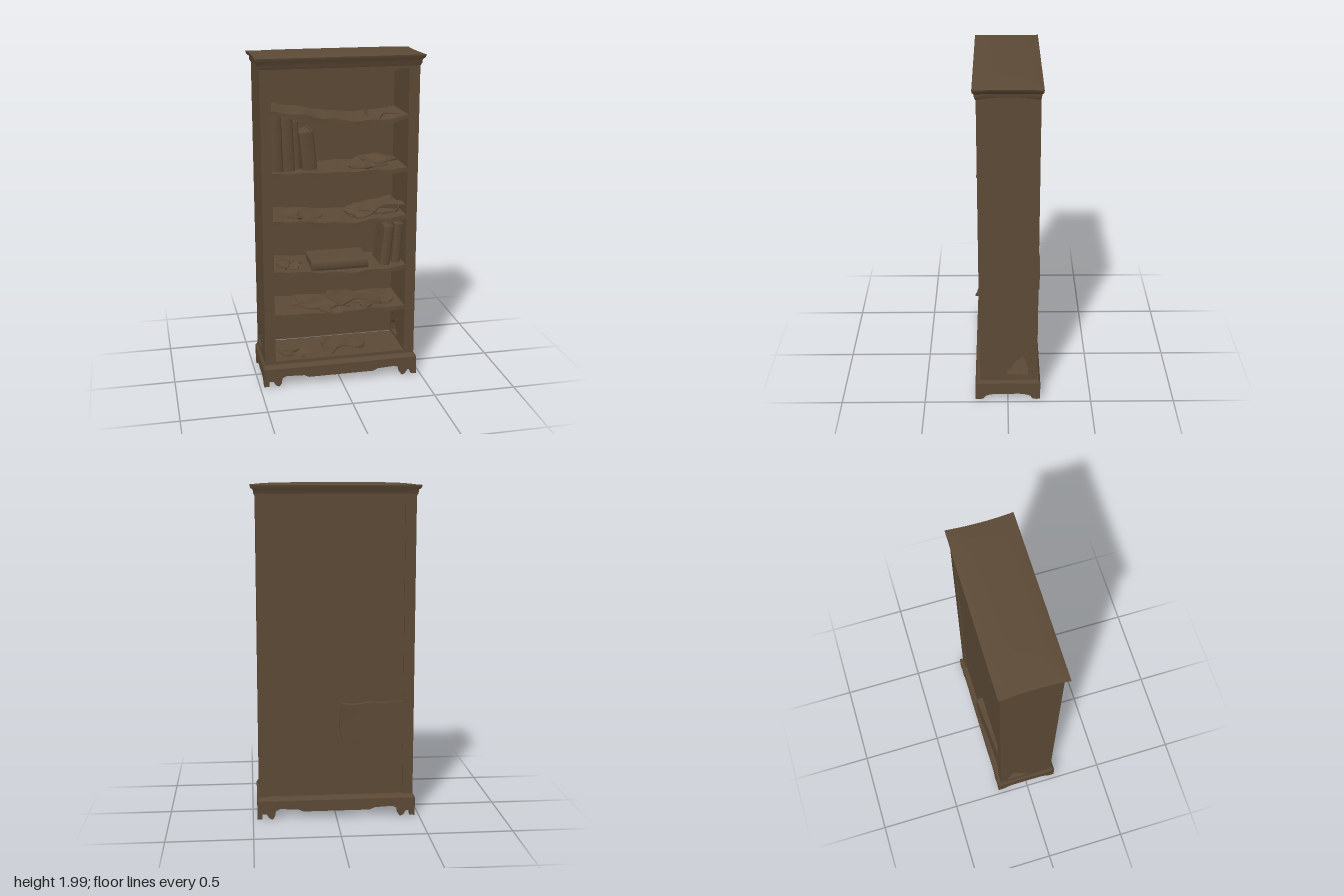
import * as THREE from 'three';
import { toCreasedNormals } from 'three/addons/utils/BufferGeometryUtils.js';

const wood = new THREE.MeshStandardMaterial({ color: 0x5c4a36 });
wood.name = 'aged brown wood';

// Move every vertex of a geometry by a rule, then restore normals
function warp(geo, rule) {
  const p = geo.attributes.position, v = new THREE.Vector3();
  for (let i = 0; i < p.count; i++) {
    rule(v.fromBufferAttribute(p, i));
    p.setXYZ(i, v.x, v.y, v.z);
  }
  return toCreasedNormals(geo, 0.6);
}

function add(parent, name, geo, x = 0, y = 0, z = 0, rx = 0, ry = 0, rz = 0) {
  const m = new THREE.Mesh(geo, wood);
  m.name = name;
  m.position.set(x, y, z);
  m.rotation.set(rx, ry, rz);
  parent.add(m);
  return m;
}

const shapeOf = pts => new THREE.Shape(pts.map(p => new THREE.Vector2(...p)));
const extrude = (shape, depth) => new THREE.ExtrudeGeometry(shape, { depth, bevelEnabled: false });

// Height along a list of evenly spaced values, u from 0 to 1
function sample(list, u) {
  const t = u * (list.length - 1), i = Math.min(Math.floor(t), list.length - 2);
  const f = t - i, s = f * f * (3 - 2 * f);
  return list[i] * (1 - s) + list[i + 1] * s;
}

// Stack of rectangles [y, half width, half depth] with slightly hollow ends
function moulding(profile, hollow, dome) {
  const n = profile.length - 1;
  return warp(new THREE.BoxGeometry(2, n, 2, 16, n, 10), v => {
    const [y, hx, hz] = profile[Math.round(v.y + n / 2)];
    const top = Math.abs(v.y - n / 2) < 0.01;
    const lift = top ? dome * (1 - Math.abs(v.x) ** 6) * (1 - v.z ** 4) : 0;
    v.set(v.x * (hx - hollow * (1 - v.z * v.z)), y + lift, v.z * hz);
  });
}

// Sagging board following a list of top heights
function board(heights, thick) {
  return warp(new THREE.BoxGeometry(0.82, thick, 0.32, 32, 1, 6), v => {
    const u = v.x / 0.82 + 0.5, front = v.z / 0.32 + 0.5;
    v.y += sample(heights, u) - thick / 2 + 0.003 * Math.sin(v.x * 31 + front * 2);
    if (front > 0.99) v.z += 0.004 * Math.sin(v.x * 23);
  });
}

// Thin curled sheet with an uneven outline
function sheet(w, d, seed) {
  return warp(new THREE.BoxGeometry(w, 0.008, d, 8, 1, 5), v => {
    const a = v.x / w, b = v.z / d;
    v.x += 0.02 * Math.sin(b * 7 + seed);
    v.z += 0.025 * Math.sin(a * 8 + seed * 2);
    v.y += 0.012 * Math.sin(a * 5 + b * 4 + seed);
  });
}

// Bound volume: covers, rounded spine facing +z and recessed pages
function book(w, h, d) {
  const g = new THREE.Group();
  const t = Math.min(0.008, w * 0.15);
  for (const s of [-1, 1]) add(g, 'bookCover', new THREE.BoxGeometry(t, h, d), s * (w - t) / 2, h / 2, 0);
  add(g, 'bookPages', new THREE.BoxGeometry(w - 2 * t, h - 0.012, d - 0.012), 0, h / 2, 0.004);
  const spine = new THREE.CylinderGeometry(w / 2, w / 2, h, 10, 1, false, -Math.PI / 2, Math.PI);
  spine.scale(1, 1, 0.35);
  add(g, 'bookSpine', spine, 0, h / 2, d / 2);
  return g;
}

export function createModel() {
  const root = new THREE.Group();
  root.name = 'oldBookcase';

  // Side walls, each with a broken hole low at the back
  for (const s of [-1, 1]) {
    const wall = shapeOf([[-0.175, 0.12], [0.168, 0.12], [0.168, 1.94], [-0.175, 1.94]]);
    wall.holes.push(shapeOf([[0.003, 0.185], [0.002, 0.215], [-0.02, 0.23], [-0.04, 0.27],
      [-0.062, 0.295], [-0.085, 0.315], [-0.103, 0.295], [-0.112, 0.25], [-0.125, 0.225], [-0.125, 0.18]]));
    const geo = extrude(wall, 0.063);
    geo.rotateY(-Math.PI / 2);
    add(root, 'sideWall', geo, s > 0 ? 0.463 : -0.4, 0, 0);
  }

  // Recessed back panel and its rail
  add(root, 'backPanel', new THREE.BoxGeometry(0.82, 1.76, 0.014), 0, 1.045, -0.158);
  add(root, 'backTopRail', warp(new THREE.BoxGeometry(0.8, 0.05, 0.025, 20, 1, 1), v => {
    if (v.y < 0) v.y -= 0.012 * Math.cos(v.x * 4) + 0.004 * Math.sin(v.x * 25);
  }), 0, 1.925, -0.163);

  // Loose piece of back board standing away from the panel
  add(root, 'looseBackBoard', warp(new THREE.BoxGeometry(0.375, 0.25, 0.03, 10, 6, 1), v => {
    const u = v.x / 0.375 + 0.5;
    if (v.z < 0) v.z -= 0.025 * u;
    v.y += 0.012 * (0.5 - u) * Math.sign(v.y) + 0.004 * Math.sin(u * 14);
    v.x += u > 0.9 ? 0.01 * Math.cos(v.y * 20) : 0;
  }), -0.215, 0.59, -0.164);

  // Front head rail with a worn lower edge
  add(root, 'headRail', warp(new THREE.BoxGeometry(0.82, 0.04, 0.035, 24, 1, 1), v => {
    if (v.y < 0) v.y -= 0.012 * Math.cos(v.x * 3.8) + 0.003 * Math.sin(v.x * 28);
  }), 0, 1.928, 0.15);

  // Cornice with hollowed ends and a slightly raised top
  add(root, 'cornice', moulding([[1.925, 0.463, 0.17], [1.94, 0.472, 0.176], [1.96, 0.473, 0.178],
    [1.972, 0.488, 0.187], [1.988, 0.493, 0.189]], 0.009, 0.012));

  // Shelves from top to bottom
  const shelves = [
    [1.69, 1.668, 1.638, 1.617, 1.618, 1.64],
    [1.33, 1.325, 1.32, 1.32, 1.322, 1.325],
    [1.043, 1.037, 1.02, 1.012, 1.025, 1.035],
    [0.732, 0.725, 0.708, 0.7, 0.708, 0.722],
    [0.46, 0.458, 0.455, 0.456, 0.458, 0.458],
  ];
  for (const h of shelves) add(root, 'shelf', board(h, 0.026), 0, 0, 0.003);
  add(root, 'bottomShelf', new THREE.BoxGeometry(0.86, 0.035, 0.31), 0, 0.148, 0.013);

  // Plinth: scalloped aprons that end in bracket feet
  const mirrored = half => [...half, ...half.map(([x, y]) => [-x, y]).reverse()];
  const longApron = shapeOf(mirrored([[-0.475, 0.125], [-0.475, 0.012], [-0.462, 0.015], [-0.445, 0.045],
    [-0.42, 0.045], [-0.405, 0.02], [-0.385, 0.01], [-0.37, 0.03], [-0.365, 0.062], [-0.34, 0.075],
    [-0.23, 0.07], [-0.2, 0.056]]));
  const endApron = shapeOf(mirrored([[-0.195, 0.125], [-0.195, 0.015], [-0.175, 0.01], [-0.15, 0.015],
    [-0.135, 0.035], [-0.11, 0.045], [-0.07, 0.05]]));
  for (const s of [-1, 1]) {
    add(root, 'plinthApron', extrude(longApron, 0.03), 0, 0, s > 0 ? 0.165 : -0.195);
    const end = extrude(endApron, 0.03);
    end.rotateY(-Math.PI / 2);
    add(root, 'plinthEnd', end, s > 0 ? 0.475 : -0.445, 0, 0);
    // Sloping cap between plinth and carcass
    add(root, 'plinthCap', warp(new THREE.BoxGeometry(0.95, 0.02, 0.035), v => {
      if (v.y > 0) { v.x *= 0.978; if (v.z * s > 0) v.z -= s * 0.014; }
    }), 0, 0.135, s * 0.1775);
    add(root, 'plinthEndCap', warp(new THREE.BoxGeometry(0.035, 0.02, 0.39), v => {
      if (v.y > 0) { v.z *= 0.93; if (v.x * s > 0) v.x -= s * 0.01; }
    }), s * 0.4575, 0.135, 0);
  }

  // Books: [width, height, depth, x, y, z, lean]
  const books = [
    [0.065, 0.33, 0.2, -0.362, 1.325, 0.01, 0.02], [0.068, 0.31, 0.19, -0.29, 1.325, 0, 0.04],
    [0.04, 0.28, 0.17, -0.235, 1.325, -0.03, 0.05], [0.085, 0.225, 0.18, -0.168, 1.327, 0.01, 0.1],
    [0.06, 0.24, 0.18, 0.285, 0.715, 0.02, -0.11], [0.05, 0.245, 0.18, 0.358, 0.72, 0.01, -0.06],
  ];
  for (const [w, h, d, x, y, z, lean] of books) {
    const b = book(w, h, d);
    b.name = 'standingBook';
    b.position.set(x, y, z);
    b.rotation.z = lean;
    root.add(b);
  }
  const flat = book(0.06, 0.35, 0.2);
  flat.name = 'lyingBook';
  flat.position.set(0.18, 0.74, 0.02);
  flat.rotation.z = Math.PI / 2;
  root.add(flat);

  // Loose sheets: [width, depth, x, y, z, turn, tilt]
  const sheets = [
    [0.2, 0.2, 0.3, 1.63, 0, 0.3, 0.05],
    [0.22, 0.2, 0.17, 1.338, 0.04, 0.3, 0.08], [0.18, 0.16, 0.26, 1.352, 0, -0.4, -0.05],
    [0.3, 0.2, 0.22, 1.065, 0.03, 0.15, 0.17], [0.26, 0.2, 0.25, 1.045, 0, -0.2, 0.08],
    [0.2, 0.18, -0.22, 1.042, 0.02, 0.4, -0.04], [0.12, 0.12, -0.3, 0.735, 0.05, 0.4, 0],
    [0.3, 0.2, 0.1, 0.49, 0.02, 0.2, -0.1], [0.26, 0.2, -0.12, 0.478, 0.03, -0.3, 0.08],
    [0.22, 0.18, 0.22, 0.47, 0.03, 0.4, 0.04], [0.14, 0.12, -0.04, 0.464, 0.13, 0.6, 0],
    [0.24, 0.18, 0.05, 0.175, 0, 0.2, 0.03], [0.16, 0.14, -0.26, 0.172, 0.05, -0.3, 0],
  ];
  sheets.forEach(([w, d, x, y, z, turn, tilt], i) =>
    add(root, 'looseSheet', sheet(w, d, i * 1.7), x, y, z, 0, turn, tilt));

  // A folded wedge propping the sheets on the middle shelf
  add(root, 'foldedPaper', warp(new THREE.BoxGeometry(0.3, 0.05, 0.16, 6, 1, 2), v => {
    if (v.y > 0) v.y = -0.02 + 0.07 * (v.x / 0.3 + 0.5);
  }), 0.22, 1.045, 0, 0, 0.1, 0);

  return root;
}
